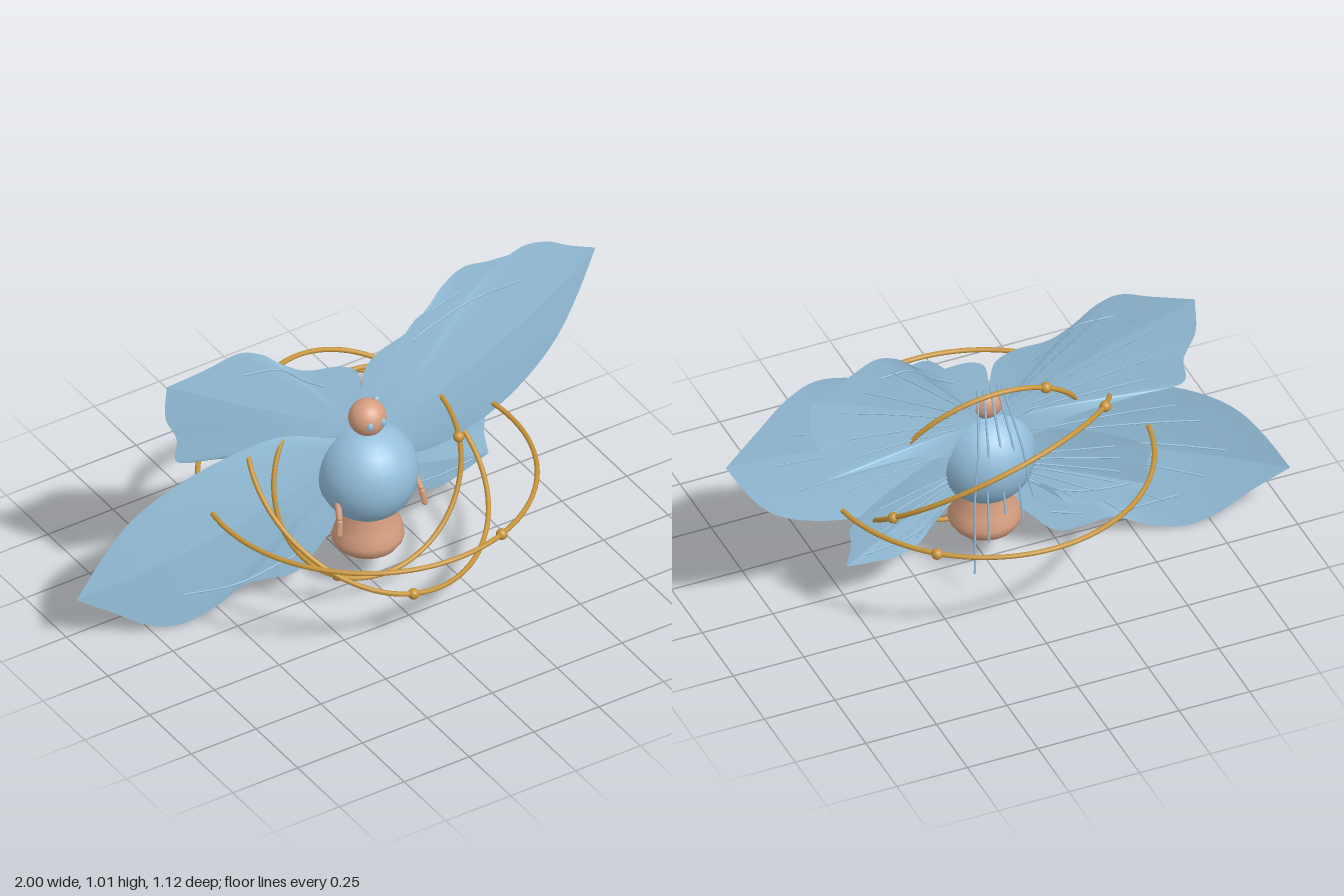
import * as THREE from 'three';

const mat = (name, color, side = THREE.FrontSide) => {
  const m = new THREE.MeshStandardMaterial({ color, side });
  m.name = name;
  return m;
};

export function createModel() {
  const root = new THREE.Group();
  const blue = mat('petal blue', 0x93bedb);
  const wingBlue = mat('wing blue', 0x9ac6e2, THREE.DoubleSide);
  const skin = mat('warm clay', 0xd79f80);
  const gold = mat('gold', 0xc6943a);
  const V = (x, y, z) => new THREE.Vector3(x, y, z);

  const add = (name, geo, material, parent = root) => {
    const m = new THREE.Mesh(geo, material);
    m.name = name;
    parent.add(m);
    return m;
  };
  const ball = (name, r, x, y, z, material, parent) => {
    const m = add(name, new THREE.SphereGeometry(r, 24, 16), material, parent);
    m.position.set(x, y, z);
    return m;
  };
  const tube = (name, pts, r, material, parent) =>
    add(name, new THREE.TubeGeometry(new THREE.CatmullRomCurve3(pts), 20, r, 6), material, parent);

  // Body, head and skirt
  ball('body', 0.168, 0, 0.435, 0, blue).scale.y = 1.03;
  ball('head', 0.063, 0, 0.648, 0, skin);
  const profile = [[0, 0.102], [0.06, 0.125], [0.104, 0.148], [0.119, 0.17], [0.121, 0.19],
    [0.112, 0.225], [0.098, 0.26], [0.093, 0.31]].map(p => new THREE.Vector2(...p));
  add('skirt', new THREE.LatheGeometry(profile, 20), skin);

  // Eyes, side bead and jointed arms
  for (const s of [-1, 1]) {
    ball('eye', 0.012, s * 0.025, 0.65, 0.057, blue).scale.set(0.9, 1.25, 0.6);
    const arm = new THREE.Group();
    arm.name = 'arm';
    root.add(arm);
    const joints = [V(s * 0.148, 0.39, 0.052), V(s * 0.158, 0.342, 0.08), V(s * 0.166, 0.285, 0.088)];
    for (let i = 0; i < 2; i++) {
      const d = joints[i + 1].clone().sub(joints[i]);
      const limb = add('armSegment', new THREE.CapsuleGeometry(0.011, d.length() * 0.75, 4, 8), skin, arm);
      limb.position.copy(joints[i]).addScaledVector(d, 0.5);
      limb.quaternion.setFromUnitVectors(V(0, 1, 0), d.normalize());
    }
  }
  ball('sideBead', 0.012, 0.053, 0.68, -0.03, blue);

  // Orbit rings with beads
  const ring = (name, radius, normal, beads) => {
    const g = new THREE.Group();
    g.name = name;
    root.add(g);
    const t = add('hoop', new THREE.TorusGeometry(radius, 0.0085, 10, 120), gold, g);
    t.position.y = 0.425;
    t.quaternion.setFromUnitVectors(V(0, 0, 1), normal.normalize());
    for (const b of beads) ball('bead', 0.019, ...b, gold, g);
  };
  ring('outerRing', 0.551, V(0, 1, 0), [[0.355, 0.425, -0.425], [0.185, 0.425, 0.519]]);
  ring('middleRing', 0.45, V(0.246, 0.817, 0.52),
    [[-0.07, 0.202, 0.386], [-0.34, 0.655, -0.2], [0.408, 0.425, -0.193]]);
  ring('innerRing', 0.353, V(0, 0.335, 0.94),
    [[0.352, 0.425, 0], [-0.18, 0.143, 0.102], [-0.17, 0.72, -0.108]]);

  // Wing: upper and lower edge meet at the tip; the surface fans out from the base
  // and curves back towards the tip and towards both edges
  const wing = (name, spec, sx, sy) => {
    const g = new THREE.Group();
    g.name = name;
    root.add(g);
    const place = ([x, y]) => V(sx * x, 0.5 + sy * (y - 0.5), 0);
    const edge = [];
    for (const pts of [spec.upper, spec.lower])
      edge.push(...new THREE.CatmullRomCurve3(pts.map(place)).getPoints(48));
    const base = place(spec.base);
    const rows = 14, n = edge.length, pos = [], idx = [];
    const point = (i, t, lift = 0) => {
      const p = base.clone().lerp(edge[i], t);
      const x = Math.abs(p.x), side = Math.abs(2 * i / (n - 1) - 1);
      const cup = spec.cup * t * Math.min(1, 3 * x) * (1 - (1 - side) ** 2);
      p.z = -0.036 - spec.k * x ** spec.p - cup + lift;
      return p;
    };
    for (let r = 0; r <= rows; r++)
      for (let i = 0; i < n; i++) pos.push(...point(i, r / rows).toArray());
    for (let r = 0; r < rows; r++)
      for (let i = 0; i < n - 1; i++) {
        const a = r * n + i, b = a + n;
        if (sx * sy > 0) idx.push(a, a + 1, b, a + 1, b + 1, b);
        else idx.push(a, b, a + 1, a + 1, b, b + 1);
      }
    const geo = new THREE.BufferGeometry();
    geo.setAttribute('position', new THREE.Float32BufferAttribute(pos, 3));
    geo.setIndex(idx);
    geo.computeVertexNormals();
    add('wingBlade', geo, wingBlue, g);

    // Veins fan out on the back, one raised rib follows the edge on the front
    for (let v = 0; v < 6; v++) {
      const i = Math.round(n * (0.3 + v * 0.075));
      tube('vein', [0.2, 0.35, 0.5, 0.65, 0.82].map(t => point(i, t, -0.003)), 0.0028, blue, g);
    }
    tube('rib', spec.rib.map(([s, t]) => point(Math.round(s * (n - 1)), t, 0.001)), 0.0035, blue, g);
  };

  const big = {
    k: 0.152, p: 2.3, cup: 0.028, base: [0, 0.5],
    upper: [[0, 0.66], [0.06, 0.75], [0.13, 0.82], [0.23, 0.92], [0.32, 0.92], [0.42, 0.91], [0.53, 0.965],
      [0.66, 0.999], [0.77, 0.965], [0.87, 0.895], [1, 0.81]],
    lower: [[1, 0.81], [0.92, 0.67], [0.84, 0.56], [0.75, 0.485], [0.6, 0.41], [0.45, 0.37], [0.3, 0.36],
      [0.15, 0.4], [0, 0.47]],
    rib: [[0.165, 0.8], [0.21, 0.87], [0.3, 0.84], [0.4, 0.82]],
  };
  const upperSmall = {
    k: 0.2, p: 1.55, cup: 0.024, base: [0, 0.58],
    upper: [[0, 0.74], [0.02, 0.82], [0.08, 0.855], [0.2, 0.875], [0.28, 0.925], [0.35, 0.985],
      [0.43, 1.015], [0.54, 0.985], [0.68, 0.95]],
    lower: [[0.68, 0.95], [0.68, 0.82], [0.64, 0.72], [0.64, 0.63], [0.5, 0.6], [0.3, 0.56], [0.15, 0.5], [0, 0.48]],
    rib: [[0.18, 0.73], [0.24, 0.78], [0.32, 0.8], [0.41, 0.83]],
  };
  const lowerSmall = {
    k: 0.2, p: 1.55, cup: 0.024, base: [0, 0.42],
    upper: [[0, 0.52], [0.15, 0.52], [0.3, 0.49], [0.45, 0.43], [0.53, 0.37], [0.525, 0.3], [0.54, 0.21]],
    lower: [[0.54, 0.21], [0.45, 0.19], [0.35, 0.175], [0.26, 0.2], [0.2, 0.27], [0.1, 0.33], [0, 0.37]],
    rib: [[0.7, 0.65], [0.66, 0.74], [0.6, 0.84], [0.53, 0.9]],
  };
  wing('greatWingUpper', big, 1, 1);
  wing('greatWingLower', big, -1, -1);
  for (const s of [-1, 1]) {
    wing('upperWing', upperSmall, s, 1);
    wing('lowerWing', lowerSmall, s, 1);
  }

  // Thin streamers trailing down the back
  const ends = [[-0.1, 0.34], [-0.06, 0.27], [0, 0.3], [0.06, 0.2], [0.11, 0.09]];
  for (const [x, y] of ends)
    tube('streamer', [V(x * 0.4, 0.73, -0.045), V(x * 0.55, 0.64, -0.085), V(x * 0.75, 0.52, -0.135),
      V(x * 0.9, 0.4, -0.15), V(x, y, -0.172)], 0.004, blue);

  return root;
}
